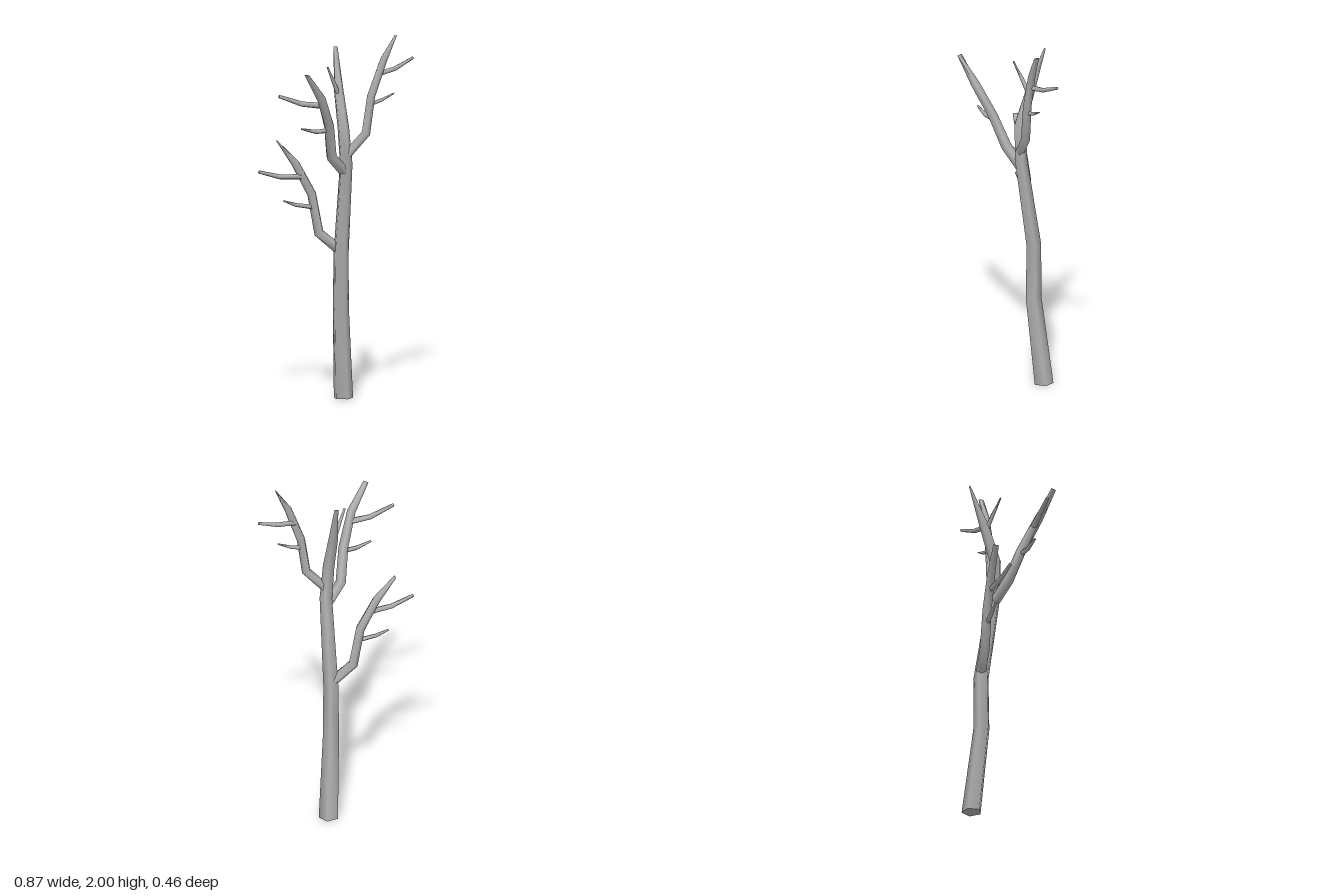
import * as THREE from 'three';

const SIDES = 5;
const UP = new THREE.Vector3(0, 1, 0);
const FRONT = new THREE.Vector3(0, 0, 1);

// Tapered five-sided limb through rows of [x, y, z, radius]; the tip is pinched by `pinch`
function limb(rows, ref, pinch) {
  const pts = rows.map(r => new THREE.Vector3(r[0], r[1], r[2]));
  const last = rows.length - 1;
  const pos = [], index = [];
  const rings = pts.map((p, i) => {
    const dir = pts[Math.min(i + 1, last)].clone().sub(p).normalize();
    const back = p.clone().sub(pts[Math.max(i - 1, 0)]).normalize();
    const tangent = dir.add(back).normalize();
    if (ref === FRONT && i === 0) tangent.copy(UP); // flat on the ground
    const side = tangent.clone().cross(ref).normalize();
    const other = side.clone().cross(tangent).normalize();
    const squash = i === last ? pinch : 1;
    return Array.from({ length: SIDES }, (_, k) => {
      const a = (k / SIDES) * Math.PI * 2;
      return p.clone()
        .addScaledVector(side, Math.cos(a) * rows[i][3])
        .addScaledVector(other, -Math.sin(a) * rows[i][3] * squash);
    });
  });
  // Bark
  rings.forEach(ring => ring.forEach(v => pos.push(v.x, v.y, v.z)));
  for (let i = 0; i < last; i++) {
    for (let k = 0; k < SIDES; k++) {
      const a = i * SIDES + k, b = i * SIDES + (k + 1) % SIDES;
      const c = a + SIDES, d = b + SIDES;
      index.push(a, c, b, b, c, d);
    }
  }
  // End caps with their own vertices, so their edges stay sharp
  [rings[0], rings[last]].forEach((ring, end) => {
    const start = pos.length / 3;
    ring.forEach(v => pos.push(v.x, v.y, v.z));
    for (let k = 1; k < SIDES - 1; k++) {
      if (end) index.push(start, start + k + 1, start + k);
      else index.push(start, start + k, start + k + 1);
    }
  });
  // Make the winding face outward whichever way the frame turned
  const [p, q, r] = [rings[0][0], rings[1][0], rings[0][1]];
  const normal = q.clone().sub(p).cross(r.clone().sub(p));
  if (normal.dot(p.clone().sub(pts[0])) < 0) {
    for (let i = 0; i < index.length; i += 3) [index[i], index[i + 1]] = [index[i + 1], index[i]];
  }
  const geo = new THREE.BufferGeometry();
  geo.setAttribute('position', new THREE.Float32BufferAttribute(pos, 3));
  geo.setIndex(index);
  geo.computeVertexNormals();
  return geo;
}

export function createModel() {
  const tree = new THREE.Group();
  tree.name = 'bareTree';
  const bark = new THREE.MeshStandardMaterial({ color: 0xb0b0b0 });
  bark.name = 'greyBark';
  const add = (parent, name, rows, ref = UP, pinch = 0.2) => {
    const mesh = new THREE.Mesh(limb(rows, ref, pinch), bark);
    mesh.name = name;
    parent.add(mesh);
  };

  // Trunk, leaning forward and then back at the crown
  add(tree, 'trunk', [
    [0.05, 0, -0.18, 0.055], [0.026, 0.5, -0.128, 0.046], [0.028, 0.8, -0.13, 0.043],
    [0.042, 1.3, -0.056, 0.036], [0.026, 1.5, -0.053, 0.033],
    [0.013, 1.7, -0.118, 0.027], [0.011, 1.925, -0.2, 0.012],
  ], FRONT);
  add(tree, 'crownTwig', [
    [0.012, 1.67, -0.11, 0.014], [-0.022, 1.75, -0.08, 0.011], [-0.062, 1.84, -0.043, 0.007],
  ]);

  // Each bough carries a long upper twig and a short lower twig
  const boughs = [
    {
      name: 'leftBough',
      main: [[0.04, 1.35, -0.05, 0.026], [0.15, 1.47, -0.053, 0.026], [0.178, 1.67, -0.055, 0.024],
        [0.25, 1.87, -0.06, 0.021], [0.32, 1.998, -0.07, 0.016]],
      upper: [[0.215, 1.79, -0.065, 0.015], [0.32, 1.81, -0.105, 0.013], [0.43, 1.858, -0.155, 0.009]],
      lower: [[0.17, 1.625, -0.06, 0.012], [0.24, 1.645, -0.075, 0.01], [0.312, 1.678, -0.085, 0.006]],
    },
    {
      name: 'frontBough',
      main: [[0.035, 1.26, -0.06, 0.03], [-0.05, 1.355, 0.0, 0.03], [-0.075, 1.53, 0.07, 0.028],
        [-0.135, 1.7, 0.15, 0.025], [-0.225, 1.842, 0.215, 0.019]],
      upper: [[-0.115, 1.655, 0.125, 0.018], [-0.235, 1.67, 0.13, 0.015], [-0.367, 1.72, 0.15, 0.01]],
      lower: [[-0.075, 1.51, 0.065, 0.014], [-0.15, 1.508, 0.088, 0.012], [-0.235, 1.53, 0.108, 0.008]],
    },
    {
      name: 'rightBough',
      main: [[0.015, 0.825, -0.135, 0.029], [-0.09, 0.915, -0.137, 0.028], [-0.13, 1.13, -0.133, 0.026],
        [-0.22, 1.3, -0.13, 0.023], [-0.325, 1.43, -0.125, 0.017]],
      upper: [[-0.19, 1.228, -0.125, 0.016], [-0.31, 1.235, -0.1, 0.014], [-0.435, 1.272, -0.07, 0.01]],
      lower: [[-0.14, 1.105, -0.13, 0.013], [-0.21, 1.08, -0.126, 0.011], [-0.29, 1.1, -0.12, 0.007]],
    },
  ];
  boughs[2].lower = [[-0.13, 1.06, -0.13, 0.013], [-0.22, 1.075, -0.126, 0.011], [-0.29, 1.1, -0.12, 0.007]];

  for (const { name, main, upper, lower } of boughs) {
    const group = new THREE.Group();
    group.name = name;
    add(group, 'bough', main);
    add(group, 'upperTwig', upper, UP, 0.9);
    add(group, 'lowerTwig', lower, UP, 0.6);
    tree.add(group);
  }
  return tree;
}
